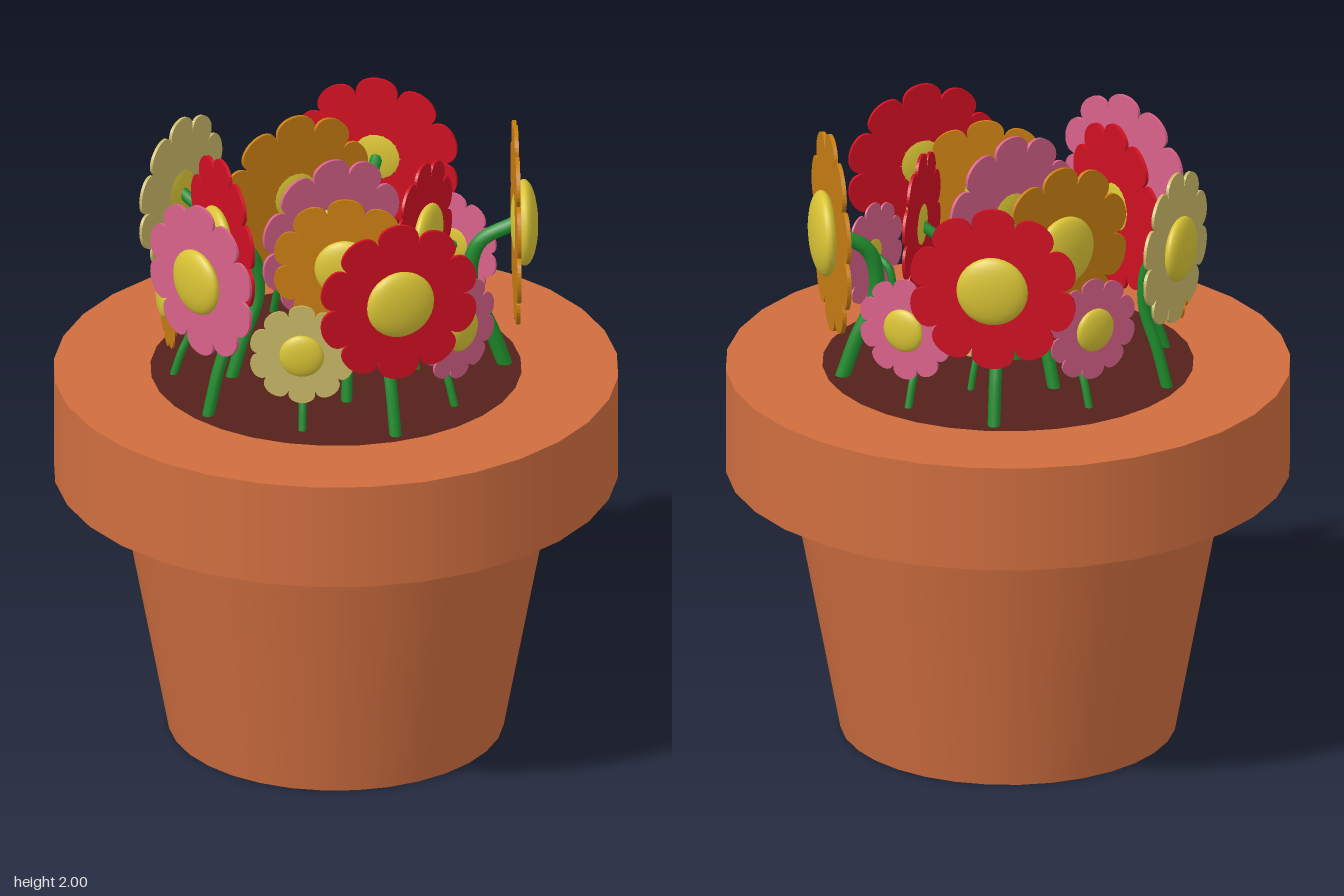
import * as THREE from 'three';
import { mergeGeometries } from 'three/addons/utils/BufferGeometryUtils.js';

const material = (color) => new THREE.MeshStandardMaterial({ color });
const RED = 0xd01022, GOLD = 0xc87d12, PINK = 0xd9628a, TAN = 0xc9b766;
const SOIL_Y = 1.2;

// x, y, z of the head, facing direction (x, z), radius, petal colour
const FLOWERS = [
  [0.02, 1.67, 0.555, 0, 1, 0.26, RED],
  [0.54, 1.68, 0.14, 0.96, 0.28, 0.32, GOLD],
  [0.29, 1.67, -0.475, 0.54, -0.84, 0.265, RED],
  [-0.365, 1.67, -0.425, -0.64, -0.76, 0.245, TAN],
  [-0.06, 1.47, -0.465, -0.18, -0.98, 0.165, PINK],
  [-0.04, 1.67, -0.28, -0.23, -0.97, 0.27, GOLD],
  [0.22, 1.46, -0.16, 0.89, -0.45, 0.14, TAN],
  [0.46, 1.47, -0.21, 0.84, -0.54, 0.165, PINK],
  [-0.355, 1.67, -0.04, -1, 0.05, 0.27, RED],
  [-0.03, 1.67, 0.04, 0.27, 0.96, 0.26, PINK],
  [0.25, 1.67, 0.1, 0.755, 0.655, 0.23, RED],
  [-0.055, 1.67, 0.265, -0.38, 0.92, 0.23, GOLD],
  [-0.51, 1.67, 0.215, -0.93, 0.36, 0.25, PINK],
  [-0.51, 1.47, -0.115, -0.99, -0.15, 0.165, GOLD],
  [-0.25, 1.47, 0.42, -0.37, 0.93, 0.165, TAN],
  [0.27, 1.47, 0.395, 0.5, 0.865, 0.165, PINK],
];

// Ring of blunt, rounded petals with unit radius, facing +z
function petalRing(count = 10) {
  const s = new THREE.Shape();
  s.moveTo(0.1, 0);
  s.bezierCurveTo(0.35, 0.13, 0.6, 0.24, 0.82, 0.25);
  s.bezierCurveTo(0.94, 0.25, 1, 0.12, 1, 0);
  s.bezierCurveTo(1, -0.12, 0.94, -0.25, 0.82, -0.25);
  s.bezierCurveTo(0.6, -0.24, 0.35, -0.13, 0.1, 0);
  const petals = [];
  for (let i = 0; i < count; i++) {
    const g = new THREE.ExtrudeGeometry(s, { depth: 0.04, bevelEnabled: false, curveSegments: 8 });
    g.translate(0, 0, -0.02);
    g.rotateZ(Math.PI / 2 + (i * 2 * Math.PI) / count);
    petals.push(g);
  }
  return mergeGeometries(petals);
}

export function createModel() {
  const root = new THREE.Group();
  const add = (parent, name, geometry, mat) => {
    const mesh = new THREE.Mesh(geometry, mat);
    mesh.name = name;
    parent.add(mesh);
    return mesh;
  };

  // Terracotta pot
  const clay = material(0xcf6e3f);
  add(root, 'potBody', new THREE.CylinderGeometry(0.68, 0.52, 0.86, 32), clay).position.y = 0.43;
  add(root, 'potRim', new THREE.CylinderGeometry(0.875, 0.875, 0.34, 32), clay).position.y = 1.03;

  // Soil disc lying flush with the rim
  const soil = add(root, 'soil', new THREE.CircleGeometry(0.575, 32), material(0x55201a));
  soil.rotation.x = -Math.PI / 2;
  soil.position.y = SOIL_Y + 0.003;

  // Flowers, each with a bowed stem behind its head
  const petals = petalRing();
  const centre = new THREE.SphereGeometry(1, 24, 16);
  const green = material(0x1f8a2c), yellow = material(0xd9c435);
  const petalMats = new Map([RED, GOLD, PINK, TAN].map((c) => [c, material(c)]));

  for (const [x, y, z, nx, nz, r, color] of FLOWERS) {
    const flower = new THREE.Group();
    flower.name = 'flower';
    flower.position.set(x, y, z);
    flower.rotation.y = Math.atan2(nx, nz);
    root.add(flower);

    add(flower, 'petals', petals, petalMats.get(color)).scale.setScalar(r);

    const eye = add(flower, 'flowerCentre', centre, yellow);
    eye.scale.set(0.42 * r, 0.42 * r, 0.135 * r);
    eye.position.z = 0.08 * r;

    const h = y - SOIL_Y;
    const path = new THREE.CatmullRomCurve3(
      [[-1.02, -0.1], [-0.75, -0.24], [-0.42, -0.44], [-0.14, -0.36], [0, 0]]
        .map(([v, d]) => new THREE.Vector3(0, v * h, d * r)));
    add(flower, 'stem', new THREE.TubeGeometry(path, 20, 0.075 * r, 8), green);
  }
  return root;
}
